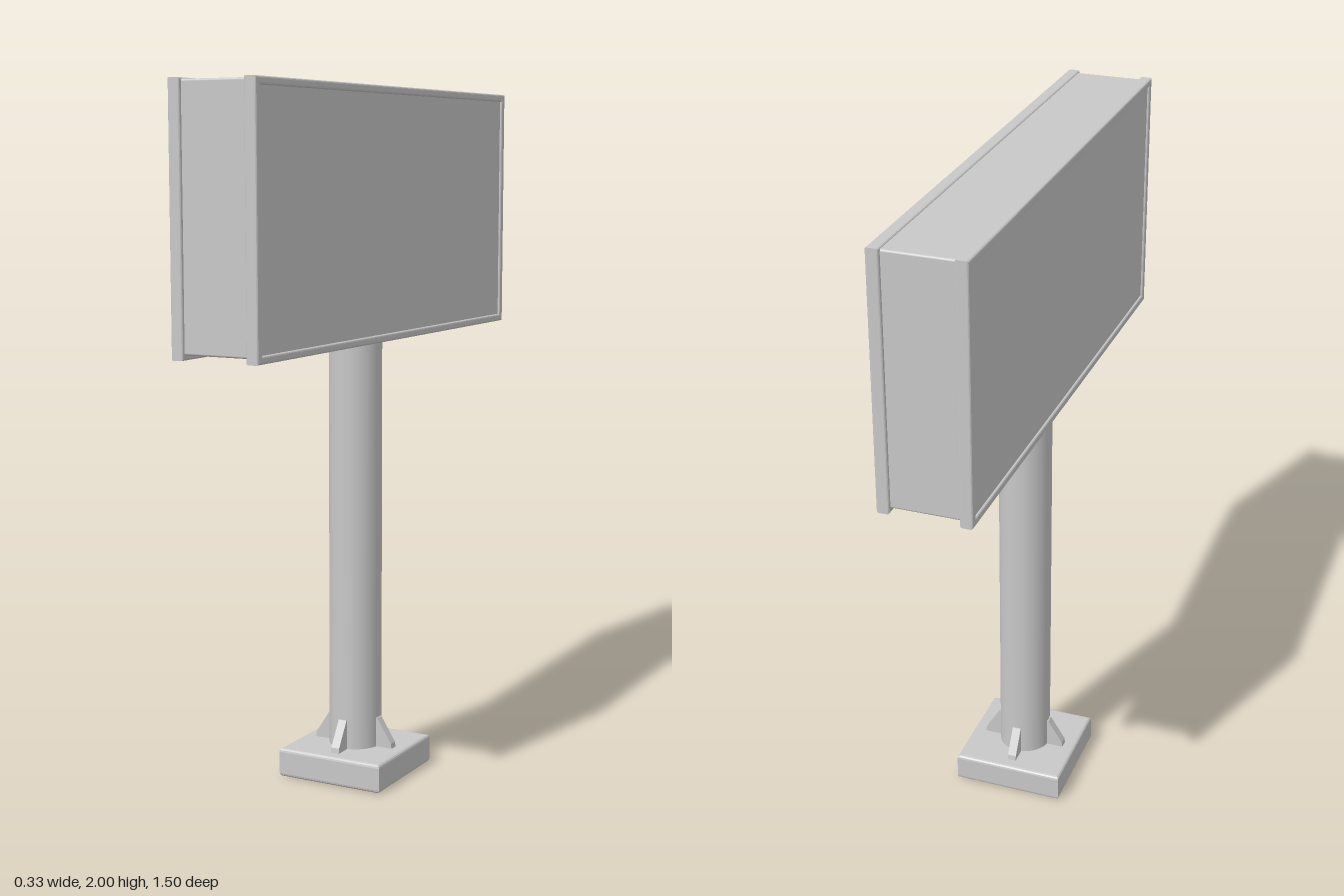
import * as THREE from 'three';
import { RoundedBoxGeometry } from 'three/addons/geometries/RoundedBoxGeometry.js';

const grey = new THREE.MeshStandardMaterial({ color: 0xc8c8c8 });
grey.name = 'light grey';

function add(parent, name, geometry, x = 0, y = 0, z = 0) {
  const mesh = new THREE.Mesh(geometry, grey);
  mesh.name = name;
  mesh.position.set(x, y, z);
  parent.add(mesh);
  return mesh;
}

// Rectangular ring, centred on the origin, with softly bevelled edges
function ringGeometry(width, height, border, depth, bevel) {
  const rect = (path, w, h) => path
    .moveTo(-w, -h).lineTo(w, -h).lineTo(w, h).lineTo(-w, h).closePath();
  const shape = new THREE.Shape();
  rect(shape, width / 2 - bevel, height / 2 - bevel);
  const hole = new THREE.Path();
  rect(hole, width / 2 - border + bevel, height / 2 - border + bevel);
  shape.holes.push(hole);
  return new THREE.ExtrudeGeometry(shape, {
    depth: depth - 2 * bevel, bevelEnabled: true,
    bevelThickness: bevel, bevelSize: bevel, bevelSegments: 3,
  }).translate(0, 0, bevel - depth / 2);
}

export function createModel() {
  const model = new THREE.Group();
  model.name = 'billboard';

  // Foot: square rim, hollow underneath, closed by a top plate
  const foot = new THREE.Group();
  foot.name = 'foot';
  model.add(foot);
  add(foot, 'footRim', ringGeometry(0.33, 0.33, 0.04, 0.085, 0.01), 0, 0.0425, 0)
    .rotation.x = -Math.PI / 2;
  add(foot, 'footPlate', new THREE.BoxGeometry(0.28, 0.04, 0.28), 0, 0.065, 0);

  // Post with its end showing inside the foot
  add(model, 'post', new THREE.CylinderGeometry(0.077, 0.077, 1.28, 40), 0, 0.67, 0);

  // Four triangular gussets
  const profile = new THREE.Shape();
  profile.moveTo(0.06, 0.08).lineTo(0.128, 0.08).lineTo(0.125, 0.1)
    .lineTo(0.08, 0.172).lineTo(0.06, 0.172).closePath();
  const gusset = new THREE.ExtrudeGeometry(profile, { depth: 0.026, bevelEnabled: false })
    .translate(0, 0, -0.013);
  for (let i = 0; i < 4; i++) {
    add(foot, 'gusset', gusset).rotation.y = i * Math.PI / 2;
  }

  // Sign cabinet, set in slightly from the frames
  const sign = new THREE.Group();
  sign.name = 'sign';
  sign.position.y = 1.645;
  model.add(sign);
  add(sign, 'cabinet', new RoundedBoxGeometry(0.246, 0.692, 1.482, 3, 0.006), 0, 0.005, 0);

  // Raised frame around each display face
  for (const side of [-1, 1]) {
    add(sign, 'displayFrame', ringGeometry(1.5, 0.71, 0.022, 0.036, 0.006), side * 0.112, 0, 0)
      .rotation.y = Math.PI / 2;
  }

  // Small mounting rings under both ends
  for (const end of [-1, 1]) {
    add(sign, 'mountingRing', new THREE.TorusGeometry(0.025, 0.005, 8, 24), 0, -0.342, end * 0.62)
      .rotation.x = Math.PI / 2;
  }
  return model;
}
